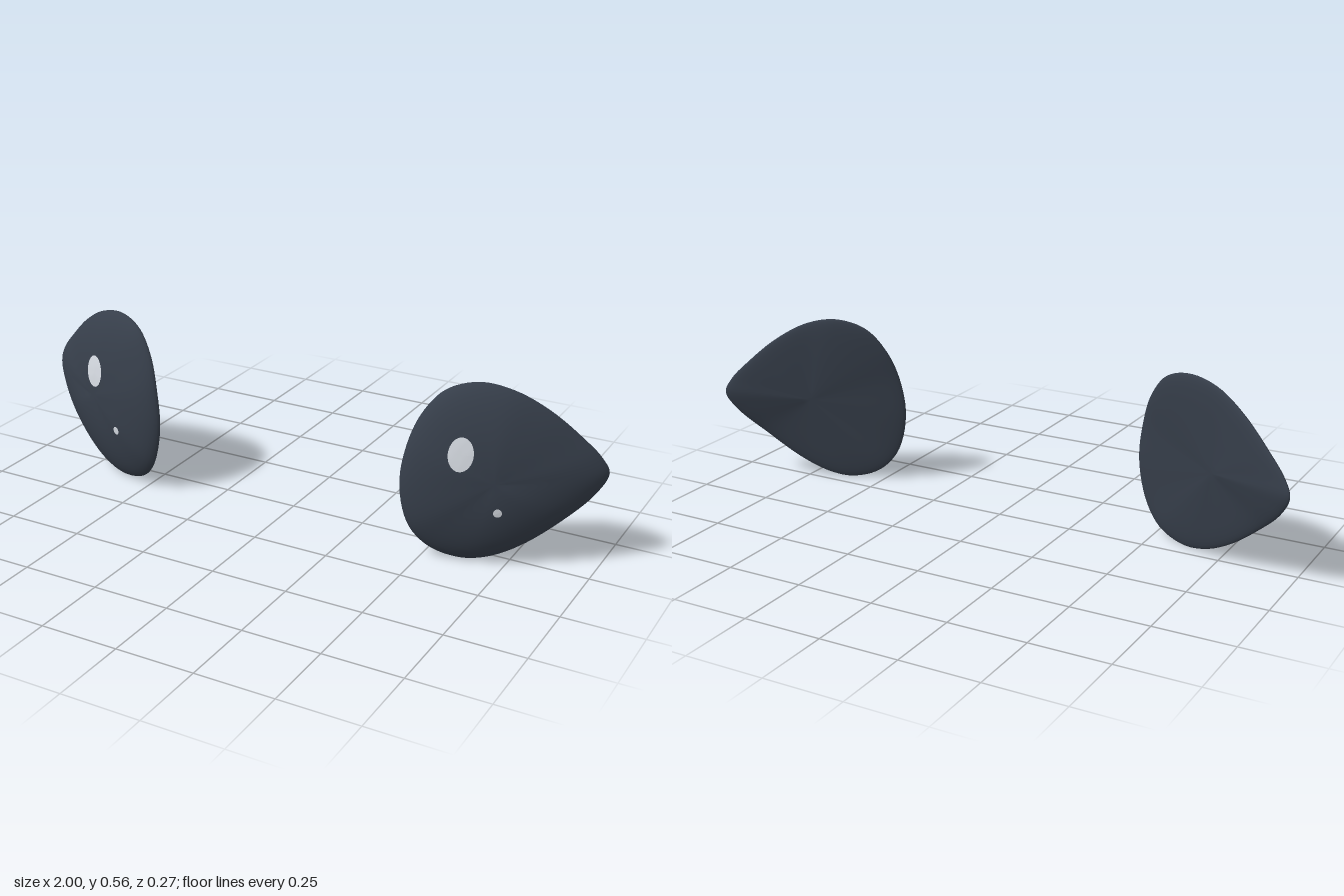
import * as THREE from 'three';

const shell = new THREE.MeshStandardMaterial({ color: 0x363e4a });
shell.name = 'dark slate';
const glint = new THREE.MeshStandardMaterial({ color: 0xd6dbe2 });
glint.name = 'pale glint';

// Rim of the left eye, counter-clockwise from the outer tip
const RIM = new THREE.CatmullRomCurve3([
  [0.998, 0.295, -0.122], [0.975, 0.345, -0.112], [0.92, 0.405, -0.09], [0.83, 0.486, -0.052],
  [0.73, 0.545, -0.012], [0.63, 0.564, 0.02], [0.54, 0.535, 0.055], [0.48, 0.46, 0.085],
  [0.445, 0.36, 0.11], [0.43, 0.23, 0.121], [0.46, 0.10, 0.115], [0.52, 0.03, 0.09],
  [0.61, 0.001, 0.06], [0.69, 0.012, 0.035], [0.78, 0.057, 0.003], [0.89, 0.147, -0.046],
  [0.968, 0.23, -0.097],
].map((p) => new THREE.Vector3(...p)), true);
const CENTRE = new THREE.Vector3(0.72, 0.28, -0.005);
const N = 96;

// Height above the rim surface: rounded edge plus a domed front
const edge = (s) => 0.012 * Math.sqrt(1 - s ** 8);
const dome = (s) => edge(s) + 0.08 * (1 - s * s) ** 0.8;

function eyeGeometry(side) {
  const steps = [0.12, 0.25, 0.38, 0.5, 0.62, 0.73, 0.82, 0.89, 0.94, 0.975, 0.993];
  const profile = [
    ...steps.map((s) => [s, dome(s)]),
    [1, 0],
    ...steps.slice().reverse().map((s) => [s, -edge(s)]),
  ];
  const rim = Array.from({ length: N }, (_, j) => RIM.getPoint(j / N));
  const pos = [], index = [];
  const p = new THREE.Vector3();
  const face = (a, b, c) => (side > 0 ? index.push(a, b, c) : index.push(a, c, b));

  // Rings run from the front centre, round the rim, to the back centre
  for (const [s, lift] of profile) {
    for (const r of rim) {
      p.lerpVectors(CENTRE, r, s);
      pos.push(p.x * side, p.y, p.z + lift);
    }
  }
  const front = profile.length * N, back = front + 1;
  pos.push(CENTRE.x * side, CENTRE.y, CENTRE.z + dome(0));
  pos.push(CENTRE.x * side, CENTRE.y, CENTRE.z - edge(0));
  const last = (profile.length - 1) * N;
  for (let j = 0; j < N; j++) {
    const k = (j + 1) % N;
    face(front, j, k);
    for (let i = 0; i < last; i += N) {
      face(i + j, i + N + j, i + N + k);
      face(i + j, i + N + k, i + k);
    }
    face(back, last + k, last + j);
  }
  const geo = new THREE.BufferGeometry();
  geo.setAttribute('position', new THREE.Float32BufferAttribute(pos, 3));
  geo.setIndex(index);
  geo.computeVertexNormals();
  return geo;
}

// Thin oval laid onto the front of an eye
function glintOn(eye, name, x, y, rx, ry) {
  const geo = new THREE.RingGeometry(0.001, 1, 32, 4);
  geo.scale(rx, ry, 1).translate(x, y, 0);
  const pos = geo.attributes.position;
  const ray = new THREE.Raycaster();
  const down = new THREE.Vector3(0, 0, -1);
  for (let i = 0; i < pos.count; i++) {
    ray.set(new THREE.Vector3(pos.getX(i), pos.getY(i), 1), down);
    const hit = ray.intersectObject(eye)[0];
    pos.setZ(i, (hit ? hit.point.z : 0) + 0.003);
  }
  geo.computeVertexNormals();
  const mesh = new THREE.Mesh(geo, glint);
  mesh.name = name;
  return mesh;
}

export function createModel() {
  const model = new THREE.Group();
  model.name = 'eyes';
  for (const side of [1, -1]) {
    const label = side > 0 ? 'left' : 'right';
    const group = new THREE.Group();
    group.name = label + 'Eye';
    const eye = new THREE.Mesh(eyeGeometry(side), shell);
    eye.name = label + 'EyeShell';
    // Both glints sit on the same side of each eye, as from one light
    group.add(
      eye,
      glintOn(eye, label + 'LargeGlint', side * 0.665 - 0.045, 0.365, 0.037, 0.052),
      glintOn(eye, label + 'SmallGlint', side * 0.667 + 0.067, 0.19, 0.012, 0.014),
    );
    model.add(group);
  }
  return model;
}
